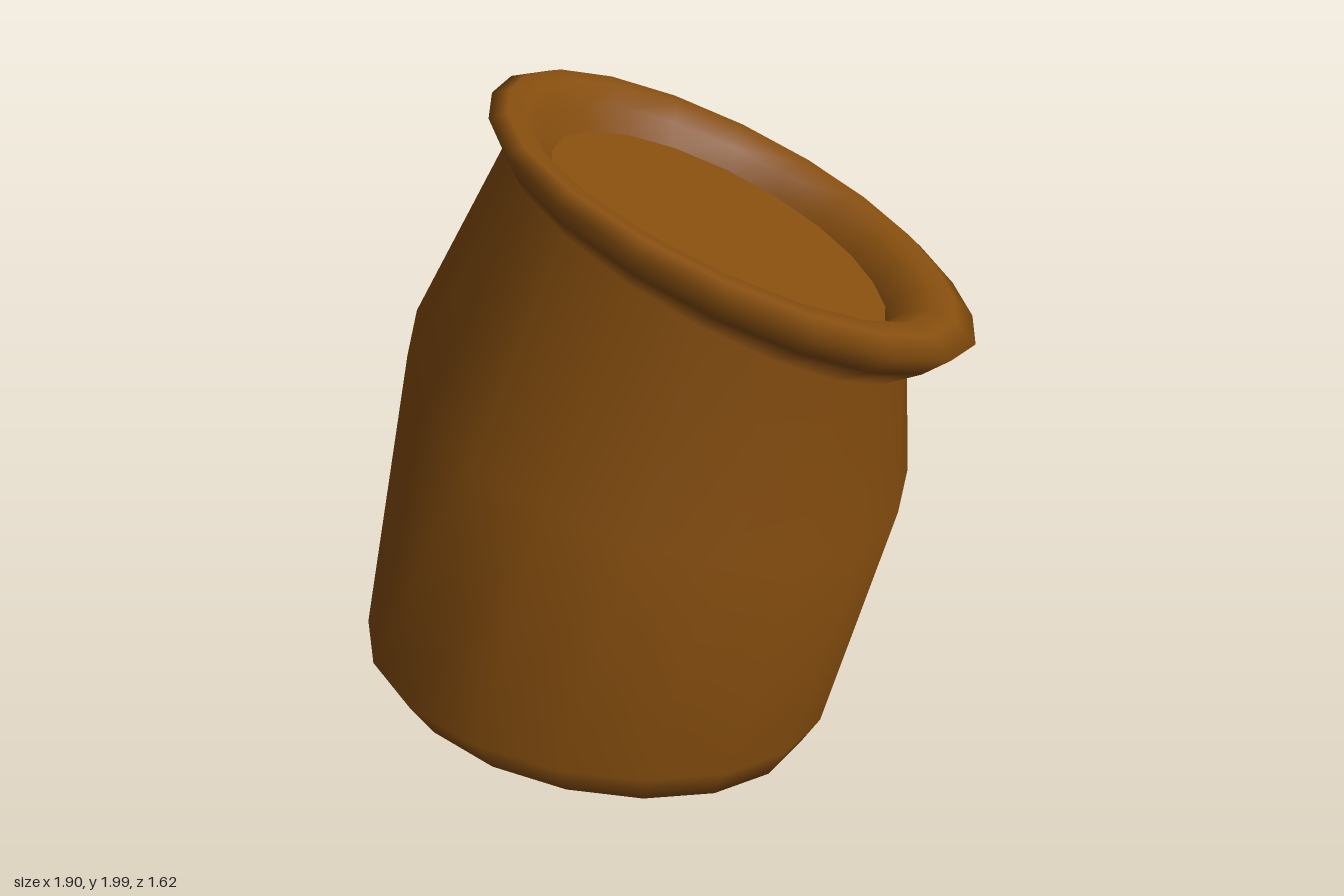
import * as THREE from 'three';

const SIDES = 20;

// Tilted ellipse: centre, radii, slope of its plane along x and z, diagonal squash
// (the squash fades out towards the front left side of the ring)
function ringPoints([cx, cy, cz, rx, rz, sx, sz, squash]) {
  return Array.from({ length: SIDES }, (_, i) => {
    const t = (i / SIDES) * Math.PI * 2;
    const fade = 1 - Math.max(0, Math.cos(t - Math.PI * 0.75));
    const k = 1 - squash * fade * Math.sin(2 * t);
    const dx = k * rx * Math.cos(t), dz = k * rz * Math.sin(t);
    return [cx + dx, cy + sx * dx + sz * dz, cz + dz];
  });
}

function geometryFrom(points, index) {
  const g = new THREE.BufferGeometry();
  g.setAttribute('position', new THREE.Float32BufferAttribute(points.flat(), 3));
  g.setIndex(index);
  g.computeVertexNormals();
  return g;
}

// Smooth skin through successive rings
function loft(rings) {
  const index = [];
  for (let r = 0; r < rings.length - 1; r++) {
    for (let j = 0; j < SIDES; j++) {
      const k = (j + 1) % SIDES;
      const a = r * SIDES + j, b = r * SIDES + k;
      index.push(a, a + SIDES, b, b, a + SIDES, b + SIDES);
    }
  }
  return geometryFrom(rings.flatMap(ringPoints), index);
}

// Flat disc closing a ring
function cap(ring, up) {
  const index = [];
  for (let j = 0; j < SIDES; j++) {
    const k = (j + 1) % SIDES;
    index.push(SIDES, up ? k : j, up ? j : k);
  }
  return geometryFrom([...ringPoints(ring), ring.slice(0, 3)], index);
}

export function createModel() {
  const group = new THREE.Group();
  group.name = 'sack';
  const cloth = new THREE.MeshStandardMaterial({ color: 0x854d0e });
  cloth.name = 'brown cloth';
  const add = (name, geometry) => {
    const mesh = new THREE.Mesh(geometry, cloth);
    mesh.name = name;
    group.add(mesh);
  };

  const bottom = [-0.15, 0.162, -0.08, 0.63, 0.57, -0.24, -0.11, 0.06];
  const contents = [0.21, 1.6, 0.04, 0.5, 0.51, -0.29, -0.355, 0.06];

  // Leaning body, pinched neck and rolled lip down to the contents
  add('sackBody', loft([
    bottom,
    [-0.17, 0.21, -0.085, 0.715, 0.65, -0.25, -0.12, 0.065],
    [-0.15, 0.31, -0.1, 0.8, 0.71, -0.25, -0.12, 0.065],
    [0.06, 1.115, -0.03, 0.79, 0.715, -0.13, -0.34, 0.02],
    [0.2, 1.55, 0.02, 0.6, 0.595, -0.35, -0.42, 0.04],
    [0.22, 1.61, 0.06, 0.67, 0.67, -0.31, -0.37, 0.055],
    [0.23, 1.675, 0.08, 0.717, 0.727, -0.295, -0.345, 0.06],
    [0.23, 1.708, 0.075, 0.66, 0.67, -0.295, -0.345, 0.06],
    [0.23, 1.706, 0.065, 0.6, 0.61, -0.295, -0.345, 0.06],
    [0.22, 1.665, 0.05, 0.54, 0.55, -0.29, -0.35, 0.06],
    contents,
  ]));
  add('sackBottom', cap(bottom, false));
  add('sackContents', cap(contents, true));
  return group;
}
